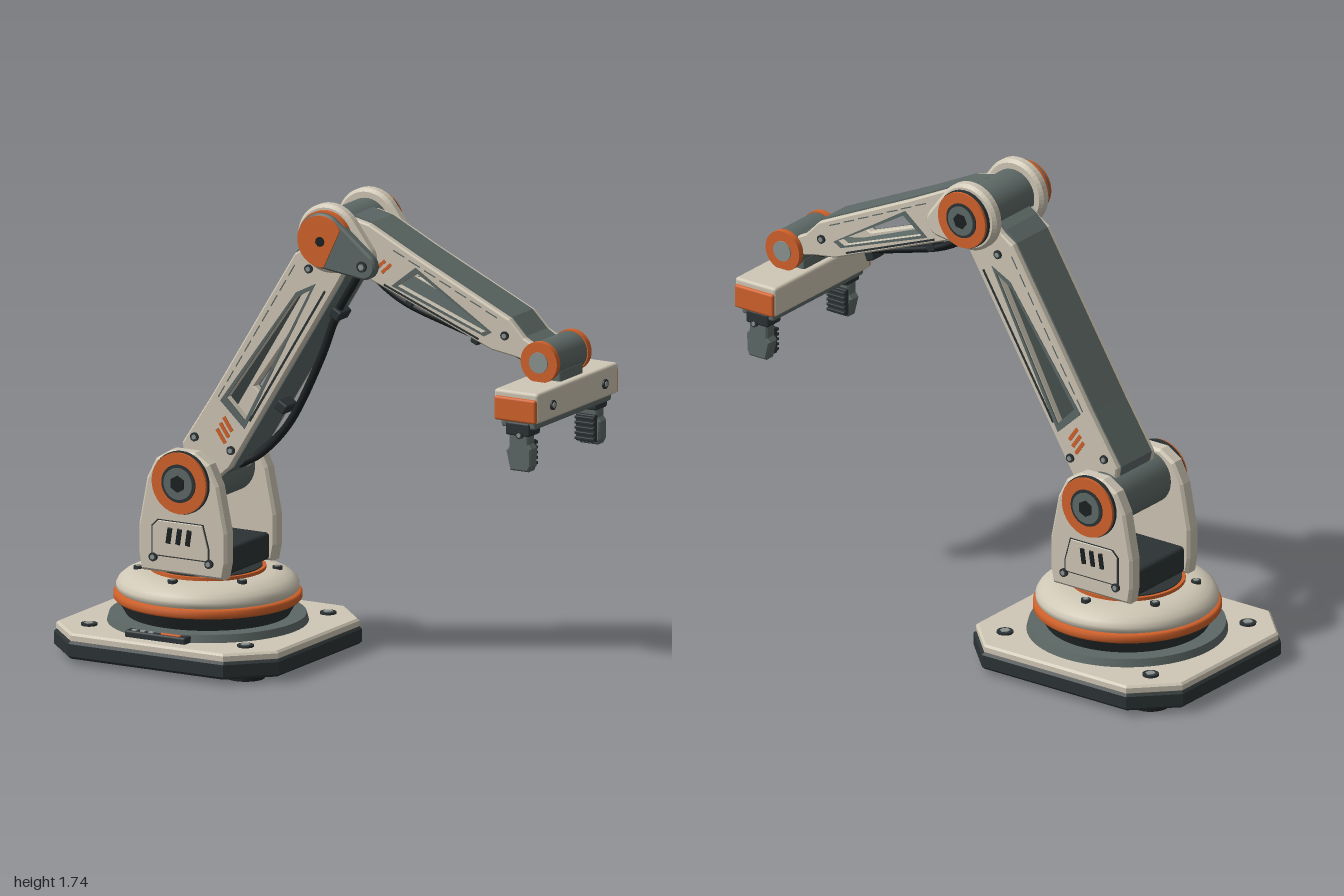
import * as THREE from 'three';
import { RoundedBoxGeometry } from 'three/addons/geometries/RoundedBoxGeometry.js';

const paint = (name, color) => {
  const m = new THREE.MeshStandardMaterial({ color });
  m.name = name;
  return m;
};

export function createModel() {
  const cream = paint('cream', 0xcfc7b5), orange = paint('orange', 0xd2622b);
  const grey = paint('greenGrey', 0x5d6966), dark = paint('charcoal', 0x2c3335);
  const steel = paint('steel', 0x8b9391), black = paint('black', 0x1b2022);

  const add = (parent, name, geo, mat, x = 0, y = 0, z = 0) => {
    const m = new THREE.Mesh(geo, mat);
    m.name = name;
    m.position.set(x, y, z);
    parent.add(m);
    return m;
  };
  const group = (parent, name, x = 0, y = 0, z = 0, turn = 0) => {
    const g = new THREE.Group();
    g.name = name;
    g.position.set(x, y, z);
    g.rotation.z = turn;
    parent.add(g);
    return g;
  };
  const box = (w, h, d, r = 0.008) => new RoundedBoxGeometry(w, h, d, 2, r);
  const cyl = (r, h, n = 40, r2 = r) => new THREE.CylinderGeometry(r2, r, h, n);
  const cylZ = (r, d, n = 40) => cyl(r, d, n).rotateX(Math.PI / 2);
  const poly = (pts) => new THREE.Shape(pts.map(([x, y]) => new THREE.Vector2(x, y)));
  // Bevelled plate centred on z = 0
  const plate = (shape, depth, bevel = 0.008) => new THREE.ExtrudeGeometry(shape, {
    depth: depth - 2 * bevel, bevelEnabled: bevel > 0, bevelThickness: bevel, bevelSize: bevel,
    bevelOffset: -bevel, bevelSegments: 1, curveSegments: 16,
  }).translate(0, 0, bevel - depth / 2);
  // Outline around two circles of different size
  const drop = (R, r, len) => {
    const a = Math.acos((R - r) / len), s = new THREE.Shape();
    s.absarc(0, 0, R, a, 2 * Math.PI - a);
    s.absarc(len, 0, r, -a, a);
    return s;
  };
  // Screw with dark rim and steel hex centre, facing +z or -z
  const bolt = (parent, x, y, z, side, r = 0.016) => {
    const g = group(parent, 'bolt', x, y, z);
    add(g, 'boltRim', cylZ(r, 0.012, 16), dark);
    add(g, 'boltHead', cylZ(r * 0.6, 0.006, 6), steel, 0, 0, side * 0.006);
    return g;
  };
  // Round joint cover facing outwards
  const hub = (parent, r, z, side) => {
    const g = group(parent, 'jointCover', 0, 0, z);
    add(g, 'darkBacking', cylZ(r * 1.03, 0.014), dark);
    add(g, 'orangeRing', cylZ(r, 0.022), orange, 0, 0, side * 0.006);
    add(g, 'darkRing', cylZ(r * 0.62, 0.024), dark, 0, 0, side * 0.009);
    add(g, 'greyHub', cylZ(r * 0.52, 0.03), grey, 0, 0, side * 0.01);
    add(g, 'hubHex', cylZ(r * 0.28, 0.034, 6), black, 0, 0, side * 0.011);
  };

  const model = new THREE.Group();
  model.name = 'robotArm';

  // Octagonal base with feet
  const base = group(model, 'base', -0.535);
  const octagon = (w, d, c) => poly([[w - c, -d], [w, c - d], [w, d - c], [w - c, d], [c - w, d], [-w, d - c], [-w, c - d], [c - w, -d]]);
  add(base, 'baseSkirt', plate(octagon(0.465, 0.437, 0.145), 0.065, 0.01).rotateX(-Math.PI / 2), dark, 0, 0.052);
  add(base, 'baseTop', plate(octagon(0.458, 0.43, 0.143), 0.035, 0.008).rotateX(-Math.PI / 2), cream, 0, 0.095);
  for (const x of [-0.323, 0.323]) for (const z of [-0.295, 0.285]) {
    add(base, 'foot', cyl(0.07, 0.024, 28), black, x, 0.012, z);
    bolt(base, x, 0.114, z, 1, 0.03).rotation.x = -Math.PI / 2;
  }
  add(base, 'controlPanel', box(0.25, 0.03, 0.1), dark, 0, 0.122, 0.325);
  add(base, 'panelLight', box(0.08, 0.006, 0.015, 0.002), orange, 0.06, 0.138, 0.362);
  for (let i = 0; i < 3; i++) add(base, 'panelKey', box(0.02, 0.006, 0.015, 0.002), steel, -0.09 + i * 0.035, 0.138, 0.362);

  // Turntable
  const lathe = (pts) => new THREE.LatheGeometry(pts.map(([x, y]) => new THREE.Vector2(x, y)), 64);
  add(base, 'bearingPlate', cyl(0.36, 0.03, 64, 0.352), grey, 0, 0.126);
  add(base, 'turntableSkirt', cyl(0.29, 0.06, 64, 0.325), dark, 0, 0.168);
  add(base, 'turntableRing', lathe([[0.3, 0.192], [0.33, 0.192], [0.337, 0.2], [0.337, 0.218], [0.33, 0.226], [0.3, 0.226]]), orange);
  add(base, 'turntableDome', lathe([[0.315, 0.222], [0.327, 0.235], [0.327, 0.25], [0.318, 0.267], [0.3, 0.282],
    [0.275, 0.294], [0.245, 0.301], [0.2, 0.303], [0, 0.303]]), cream);
  add(base, 'domeTrim', cyl(0.208, 0.016, 48), orange, 0, 0.307);
  add(base, 'domeCap', cyl(0.195, 0.02, 48), dark, 0, 0.309);
  for (let i = 0; i < 6; i++) {
    const a = Math.PI / 2 + i * Math.PI / 3;
    bolt(base, 0.247 * Math.cos(a), 0.303, 0.247 * Math.sin(a), 1, 0.018).rotation.x = -Math.PI / 2;
  }

  // Shoulder brackets and joint
  const shoulder = group(model, 'shoulder', -0.53, 0.655, -0.01);
  const cheek = poly([[-0.17, -0.34], [0.17, -0.34], [0.182, -0.28], [0.182, -0.17], [0.148, 0], [0.11, 0.075], [0.05, 0.112],
    [-0.05, 0.112], [-0.11, 0.075], [-0.148, 0], [-0.18, -0.17], [-0.18, -0.28]]);
  add(shoulder, 'shoulderBarrel', cylZ(0.1, 0.3), grey);
  add(shoulder, 'shoulderBlock', box(0.32, 0.1, 0.3, 0.015), dark, 0, -0.285);
  for (const s of [1, -1]) {
    add(shoulder, 'bracket', plate(cheek, 0.06, 0.01), cream, 0, 0, s * 0.172);
    hub(shoulder, 0.112, s * 0.207, s);
    const panel = (k) => poly([[-0.125, -0.28], [0.115, -0.28], [0.115, -0.235], [0.09, -0.145], [-0.1, -0.145], [-0.125, -0.17]]
      .map(([x, y]) => [x * k, (y + 0.213) * k - 0.213]));
    add(shoulder, 'panelEdge', plate(panel(1), 0.008, 0), dark, 0, 0, s * 0.2);
    add(shoulder, 'accessPanel', plate(panel(0.95), 0.012, 0.002), cream, 0, 0, s * 0.201);
    for (let i = -1; i <= 1; i++) {
      add(shoulder, 'ventSlot', box(0.02, 0.06, 0.006, 0.003), black, -0.01 + i * 0.04, -0.2, s * 0.207).rotation.z = -0.15;
    }
    for (const x of [-0.115, 0.115]) bolt(shoulder, x, -0.285, s * 0.207, s);
  }

  // A box-section link: two windowed side plates with spines above and below
  const link = (g, outline, win, half, spines) => {
    const side = poly(outline);
    side.holes.push(poly(win));
    const cx = win.reduce((t, p) => t + p[0], 0) / win.length, cy = win.reduce((t, p) => t + p[1], 0) / win.length;
    const trim = poly(win.map(([x, y]) => [cx + (x - cx) * 1.1, cy + (y - cy) * 1.3]));
    trim.holes.push(poly(win));
    for (const s of [1, -1]) {
      add(g, 'sidePlate', plate(side, 0.035, 0.006), cream, 0, 0, s * (half - 0.0175));
      add(g, 'windowTrim', plate(trim, 0.006, 0), grey, 0, 0, s * half);
    }
    for (const pts of spines) add(g, 'spine', plate(poly(pts), 2 * half - 0.05, 0), grey);
  };
  // Small markings on a link
  const stripe = (g, mat, x, y, z, len, w, turn = 0) => {
    add(g, 'stripe', new THREE.BoxGeometry(len, w, 0.005), mat, x, y, z).rotation.z = turn;
  };

  // Upper arm
  const upper = group(model, 'upperArm', -0.53, 0.655, -0.01, Math.atan2(0.955, 0.578));
  link(upper, [[0.03, -0.07], [0.12, -0.098], [0.98, -0.102], [1.05, -0.1], [1.09, -0.06], [1.09, 0.05], [1.01, 0.073],
    [0.96, 0.097], [0.3, 0.1], [0.08, 0.107], [0.03, 0.07]],
  [[0.31, -0.058], [0.89, -0.025], [0.82, 0.012], [0.335, 0.045]], 0.115,
  [[[0.03, 0.065], [0.1, 0.065], [1.06, 0.065], [1.02, 0.085], [0.96, 0.103], [0.3, 0.106], [0.08, 0.112]],
    [[0.03, -0.065], [0.12, -0.102], [0.98, -0.106], [1.06, -0.1], [1.06, -0.07], [0.12, -0.07]],
    [[0.0, -0.075], [0.17, -0.075], [0.17, 0.075], [0.0, 0.075]]]);
  for (const s of [1, -1]) {
    for (let i = 0; i < 3; i++) stripe(upper, orange, 0.2 + i * 0.027, -0.01, s * 0.116, 0.06, 0.014, 1.15);
    stripe(upper, dark, 0.62, -0.075, s * 0.115, 0.6, 0.008);
    for (let i = 0; i < 9; i++) stripe(upper, grey, 0.34 + i * 0.07, 0.074, s * 0.114, 0.05, 0.004);
    for (const [x, y] of [[0.13, 0.075], [0.95, 0.02], [0.18, -0.07]]) bolt(upper, x, y, s * 0.117, s);
  }

  // Elbow
  const elbowAngle = Math.atan2(-0.359, 0.848);
  const elbow = group(model, 'elbow', 0.048, 1.61, -0.01, elbowAngle);
  add(elbow, 'elbowBarrel', cylZ(0.092, 0.26), grey);
  for (const s of [1, -1]) add(elbow, 'elbowEar', plate(drop(0.126, 0.055, 0.14), 0.05, 0.012), cream, 0, 0, s * 0.14);
  hub(elbow, 0.105, -0.178, -1);
  add(elbow, 'coverRing', cylZ(0.106, 0.024), orange, 0, 0, 0.175);
  add(elbow, 'elbowCover', plate(drop(0.1, 0.05, 0.185), 0.04, 0.008), grey, 0, 0, 0.188);
  const sector = new THREE.Shape();
  sector.absarc(0, 0, 0.094, 0.95, 5.25);
  add(elbow, 'coverFace', plate(sector, 0.008, 0), orange, 0, 0, 0.21);
  add(elbow, 'coverPin', cylZ(0.018, 0.012, 12), black, 0, 0, 0.212);
  bolt(elbow, 0.185, 0, 0.21, 1, 0.02);

  // Forearm
  const fore = group(model, 'forearm', 0.048, 1.61, -0.01, elbowAngle);
  link(fore, [[0.02, -0.08], [0.14, -0.085], [0.72, -0.068], [0.82, -0.042], [0.87, -0.035], [0.87, 0.035], [0.82, 0.038],
    [0.74, 0.072], [0.3, 0.088], [0.1, 0.1], [0.02, 0.085]],
  [[0.29, -0.047], [0.66, -0.03], [0.68, -0.008], [0.345, 0.038]], 0.095,
  [[[0.02, 0.06], [0.72, 0.045], [0.86, 0.02], [0.86, 0.038], [0.82, 0.043], [0.74, 0.077], [0.3, 0.093], [0.1, 0.105], [0.02, 0.09]],
    [[0.02, -0.084], [0.14, -0.089], [0.72, -0.072], [0.82, -0.046], [0.86, -0.035], [0.86, -0.015], [0.7, -0.045], [0.02, -0.06]]]);
  for (const s of [1, -1]) {
    stripe(fore, dark, 0.45, -0.063, s * 0.095, 0.42, 0.007, 0.03);
    for (let i = 0; i < 7; i++) stripe(fore, grey, 0.25 + i * 0.07, 0.065 - i * 0.002, s * 0.094, 0.05, 0.004);
    bolt(fore, 0.75, 0.01, s * 0.097, s);
    for (let i = 0; i < 2; i++) stripe(fore, orange, 0.2 + i * 0.027, -0.01, s * 0.096, 0.05, 0.012, 1.15);
  }

  // Cables under both links, with clips
  const cable = (pts, z, r) => add(model, 'cable', new THREE.TubeGeometry(
    new THREE.CatmullRomCurve3(pts.map(([x, y]) => new THREE.Vector3(x, y, z))), 48, r, 10), black);
  const lower = [[-0.4, 0.7], [-0.32, 0.745], [-0.2, 0.87], [-0.067, 1.125], [0.01, 1.32], [0.085, 1.45], [0.1, 1.52]];
  const outer = [[0.1, 1.52], [0.16, 1.455], [0.275, 1.382], [0.49, 1.315], [0.75, 1.245], [0.83, 1.215], [0.88, 1.235]];
  for (const pts of [lower, outer]) {
    cable(pts, 0.005, 0.015);
    cable(pts.map(([x, y]) => [x - 0.008, y + 0.012]), -0.03, 0.011);
  }
  add(upper, 'cableClip', box(0.04, 0.06, 0.08), dark, 0.83, -0.115);
  add(upper, 'cableClip', box(0.04, 0.06, 0.08), dark, 0.4, -0.115);
  add(fore, 'cableClip', box(0.035, 0.05, 0.07), dark, 0.33, -0.1);
  add(fore, 'cableClip', box(0.035, 0.05, 0.07), dark, 0.62, -0.09);

  // Wrist
  const wrist = group(model, 'wrist', 0.896, 1.251, -0.012);
  add(wrist, 'wristBarrel', cylZ(0.071, 0.2), grey);
  add(wrist, 'wristNeck', box(0.13, 0.08, 0.16), grey, 0, -0.07);
  for (const s of [1, -1]) {
    add(wrist, 'wristRing', cylZ(0.075, 0.024), orange, 0, 0, s * 0.11);
    add(wrist, 'wristHub', cylZ(0.038, 0.01, 24), steel, 0, 0, s * 0.122);
  }

  // Gripper with two toothed fingers
  const grip = group(model, 'gripper', 0.898, 1.125, -0.01);
  add(grip, 'gripperBar', box(0.182, 0.112, 0.57, 0.012), cream);
  add(grip, 'gripperRail', box(0.14, 0.035, 0.54), grey, 0, -0.065);
  const finger = poly([[-0.04, 0], [0.04, 0], [0.04, -0.07], [0.052, -0.085], [0.05, -0.15], [0.04, -0.17], [-0.035, -0.17], [-0.052, -0.1], [-0.04, -0.085]]);
  for (const s of [1, -1]) {
    add(grip, 'endCap', box(0.172, 0.088, 0.02, 0.009), orange, 0, -0.011, s * 0.285);
    add(grip, 'fingerMount', box(0.1, 0.05, 0.08), dark, 0, -0.085, s * 0.235);
    add(grip, 'finger', plate(finger, 0.05, 0.006), grey, 0, -0.07, s * 0.243);
    add(grip, 'fingerPad', box(0.08, 0.1, 0.02, 0.004), dark, 0, -0.18, s * 0.213);
    for (let i = 0; i < 5; i++) add(grip, 'gripTooth', box(0.08, 0.011, 0.014, 0.003), dark, 0, -0.142 - i * 0.019, s * 0.2);
    bolt(grip, 0.01, -0.105, s * 0.274, s, 0.014);
    bolt(grip, 0.092, -0.003, s * 0.183, 1, 0.018).rotation.y = Math.PI / 2;
  }
  return model;
}
